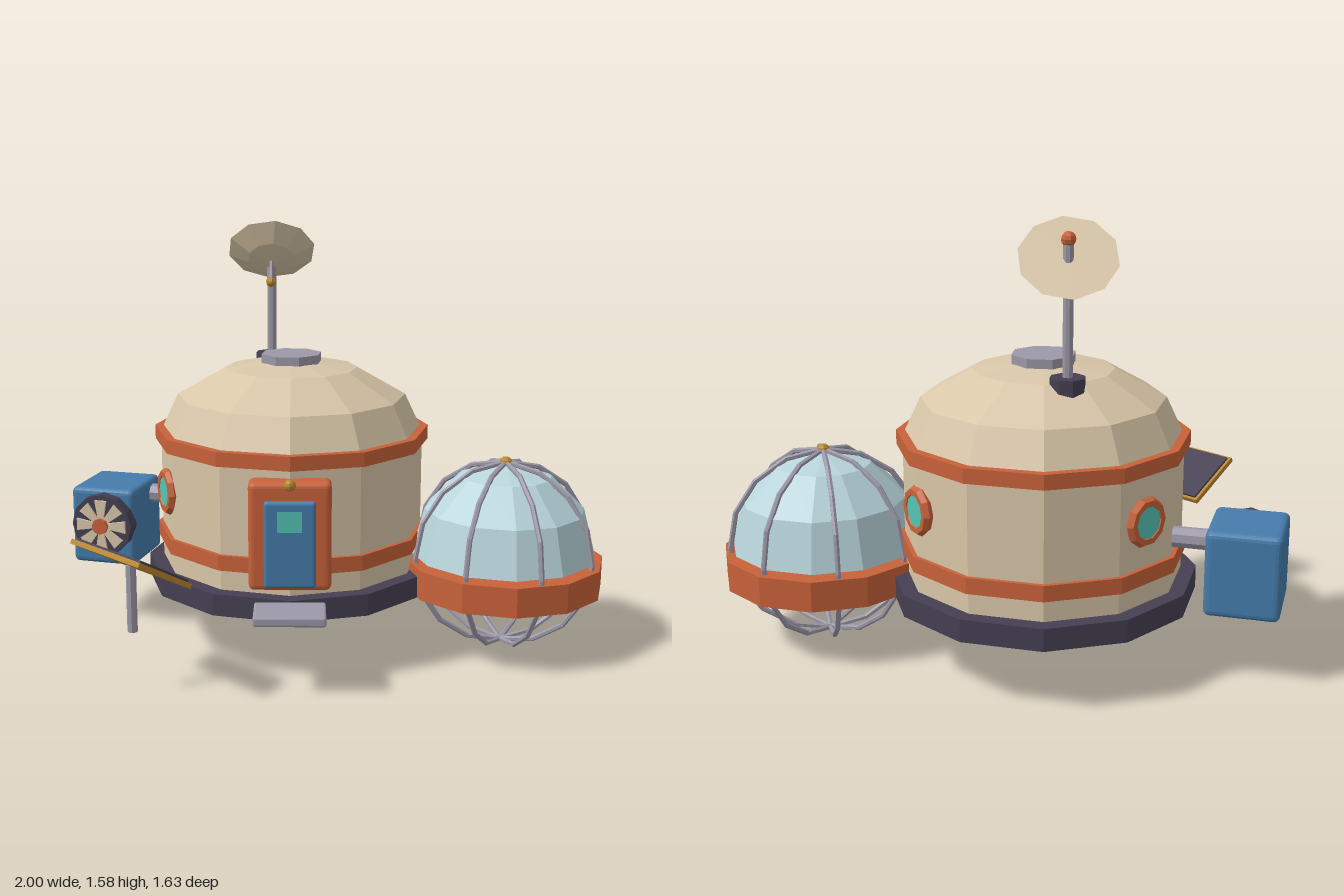
import * as THREE from 'three';
import { RoundedBoxGeometry } from 'three/addons/geometries/RoundedBoxGeometry.js';

const paint = (name, color, extra = {}) => {
  const m = new THREE.MeshStandardMaterial({ color, flatShading: true, ...extra });
  m.name = name;
  return m;
};

export function createModel() {
  const tan = paint('tan', 0xd8c6a8);
  const orange = paint('orange', 0xc8623a);
  const dark = paint('dark', 0x453f52);
  const blue = paint('blue', 0x457cab);
  const grey = paint('grey', 0x9c98a8);
  const glass = paint('glass', 0xb8d5db, { side: THREE.DoubleSide });
  const teal = paint('teal', 0x55c4b4);
  const gold = paint('gold', 0xb8862e);

  const model = new THREE.Group();
  model.name = 'habitat';

  const group = (name, x, y, z, az = 0, parent = model) => {
    const g = new THREE.Group();
    g.name = name;
    g.position.set(x, y, z);
    g.rotation.y = THREE.MathUtils.degToRad(az);
    parent.add(g);
    return g;
  };
  const add = (parent, name, geo, mat, x = 0, y = 0, z = 0) => {
    const m = new THREE.Mesh(geo, mat);
    m.name = name;
    m.position.set(x, y, z);
    parent.add(m);
    return m;
  };
  const cyl = (r, h, n, top = r) => new THREE.CylinderGeometry(top, r, h, n);
  const box = (w, h, d) => new THREE.BoxGeometry(w, h, d);
  const rbox = (w, h, d, r) => new RoundedBoxGeometry(w, h, d, 2, r);
  const ball = (r) => new THREE.SphereGeometry(r, 8, 6);
  const disc = (r, h, n) => cyl(r, h, n).rotateX(Math.PI / 2);
  // Straight round bar between two points
  const bar = (parent, name, a, b, r, mat, n = 8) => {
    const A = new THREE.Vector3(...a), d = new THREE.Vector3(...b).sub(A);
    const m = add(parent, name, cyl(r, d.length(), n), mat);
    m.position.copy(A).addScaledVector(d, 0.5);
    m.quaternion.setFromUnitVectors(new THREE.Vector3(0, 1, 0), d.normalize());
    return m;
  };

  // Main building
  const CX = -0.14, CZ = -0.155;
  const hab = group('mainBuilding', CX, 0, CZ);
  add(hab, 'foundation', cyl(0.55, 0.08, 12), dark, 0, 0.283);
  add(hab, 'wall', cyl(0.495, 0.5, 12), tan, 0, 0.565);
  add(hab, 'lowerBand', cyl(0.511, 0.056, 12), orange, 0, 0.427);
  add(hab, 'upperBand', cyl(0.517, 0.052, 12), orange, 0, 0.806);
  const roof = [0, 30, 60, 90].map((d) => {
    const a = THREE.MathUtils.degToRad(d);
    return new THREE.Vector2(d === 90 ? 0 : 0.495 * Math.cos(a), 0.812 + 0.28 * Math.sin(a));
  });
  add(hab, 'roof', new THREE.LatheGeometry(roof, 12), tan);
  add(hab, 'roofHatch', cyl(0.115, 0.045, 8), grey, 0, 1.085);

  // Round windows, turned to face outward
  for (const az of [-38, -107, 151]) {
    const w = group('roundWindow', 0, 0.62, 0, az, hab);
    add(w, 'windowRim', new THREE.TorusGeometry(0.068, 0.02, 6, 10), orange, 0, 0, 0.492);
    add(w, 'windowBacking', disc(0.07, 0.04, 10), orange, 0, 0, 0.478);
    add(w, 'windowPane', disc(0.062, 0.008, 10), teal, 0, 0, 0.502);
  }

  // Entrance
  const door = group('entrance', 0, 0, 0, 30, hab);
  add(door, 'doorFrame', rbox(0.288, 0.388, 0.095, 0.02), orange, 0, 0.555, 0.507);
  add(door, 'door', rbox(0.18, 0.31, 0.05, 0.012), blue, 0, 0.532, 0.551);
  add(door, 'doorWindow', box(0.085, 0.07, 0.008), teal, 0, 0.617, 0.578);
  add(door, 'doorLamp', ball(0.021), gold, 0, 0.745, 0.568);
  add(door, 'doorStep', rbox(0.25, 0.035, 0.16, 0.008), grey, 0, 0.302, 0.625);

  // Antenna
  const ant = group('antenna', -0.32, 0, -0.31);
  add(ant, 'antennaFoot', cyl(0.062, 0.08, 8), dark, 0, 1.036);
  add(ant, 'antennaMast', cyl(0.018, 0.5, 8), grey, 0, 1.265);
  add(ant, 'beacon', ball(0.026), orange, 0, 1.53);
  const dish = group('dishHead', 0, 1.472, 0, 0, ant);
  dish.quaternion.setFromUnitVectors(
    new THREE.Vector3(0, 1, 0), new THREE.Vector3(-0.35, 0.71, -0.61).normalize());
  const bowl = [[0, -0.06], [0.09, -0.046], [0.168, 0], [0, 0]];
  add(dish, 'dish', new THREE.LatheGeometry(bowl.map((p) => new THREE.Vector2(...p)), 10), tan);
  bar(dish, 'feedArm', [0, -0.04, 0], [0, -0.155, 0], 0.007, grey, 6);
  add(dish, 'feedTip', ball(0.019), gold, 0, -0.157);

  // Greenhouse
  const gh = group('greenhouse', 0.617, 0, -0.44);
  add(gh, 'greenhouseBase', cyl(0.376, 0.11, 12), orange, 0, 0.299);
  add(gh, 'glassDome',
    new THREE.SphereGeometry(0.345, 12, 3, 0, Math.PI * 2, 0, Math.PI / 2), glass, 0, 0.37);
  for (let i = 0; i < 4; i++) {
    const rib = add(gh, 'rib', new THREE.TorusGeometry(0.349, 0.01, 6, 16), grey, 0, 0.371);
    rib.rotation.y = (i * Math.PI) / 4;
  }
  add(gh, 'domeCap', ball(0.026), gold, 0, 0.715);

  // Climate unit with fan
  const unit = group('climateUnit', -0.845, 0.41, 0.027, 15);
  add(unit, 'unitCase', rbox(0.26, 0.305, 0.288, 0.022), blue);
  const fan = group('fan', 0.012, 0.018, 0.144, 0, unit);
  add(fan, 'fanHousing', disc(0.122, 0.06, 12), dark, 0, 0, 0.01);
  const blade = new THREE.Shape([[-0.01, 0.02], [0.01, 0.02], [0.024, 0.1], [-0.024, 0.1]]
    .map((p) => new THREE.Vector2(...p)));
  const bladeGeo = new THREE.ExtrudeGeometry(blade, { depth: 0.009, bevelEnabled: false });
  for (let i = 0; i < 8; i++) {
    add(fan, 'fanBlade', bladeGeo, tan, 0, 0, 0.04).rotation.z = (i * Math.PI) / 4;
  }
  add(fan, 'fanHub', disc(0.032, 0.026, 8), orange, 0, 0, 0.05);
  bar(model, 'duct', [-0.8, 0.505, -0.045], [-0.59, 0.505, -0.1], 0.037, grey);

  // Solar panel
  const solar = group('solarPanel', -0.297, 0, 0.655, -15);
  add(solar, 'solarPost', cyl(0.018, 0.24, 8), grey, 0, 0.36);
  const tilt = group('solarTilt', 0, 0.485, 0, 0, solar);
  tilt.rotation.x = -Math.PI / 6;
  add(tilt, 'solarFrame', box(0.376, 0.018, 0.252), gold);
  add(tilt, 'solarCells', box(0.352, 0.009, 0.23), dark, 0, 0.0125);

  return model;
}
